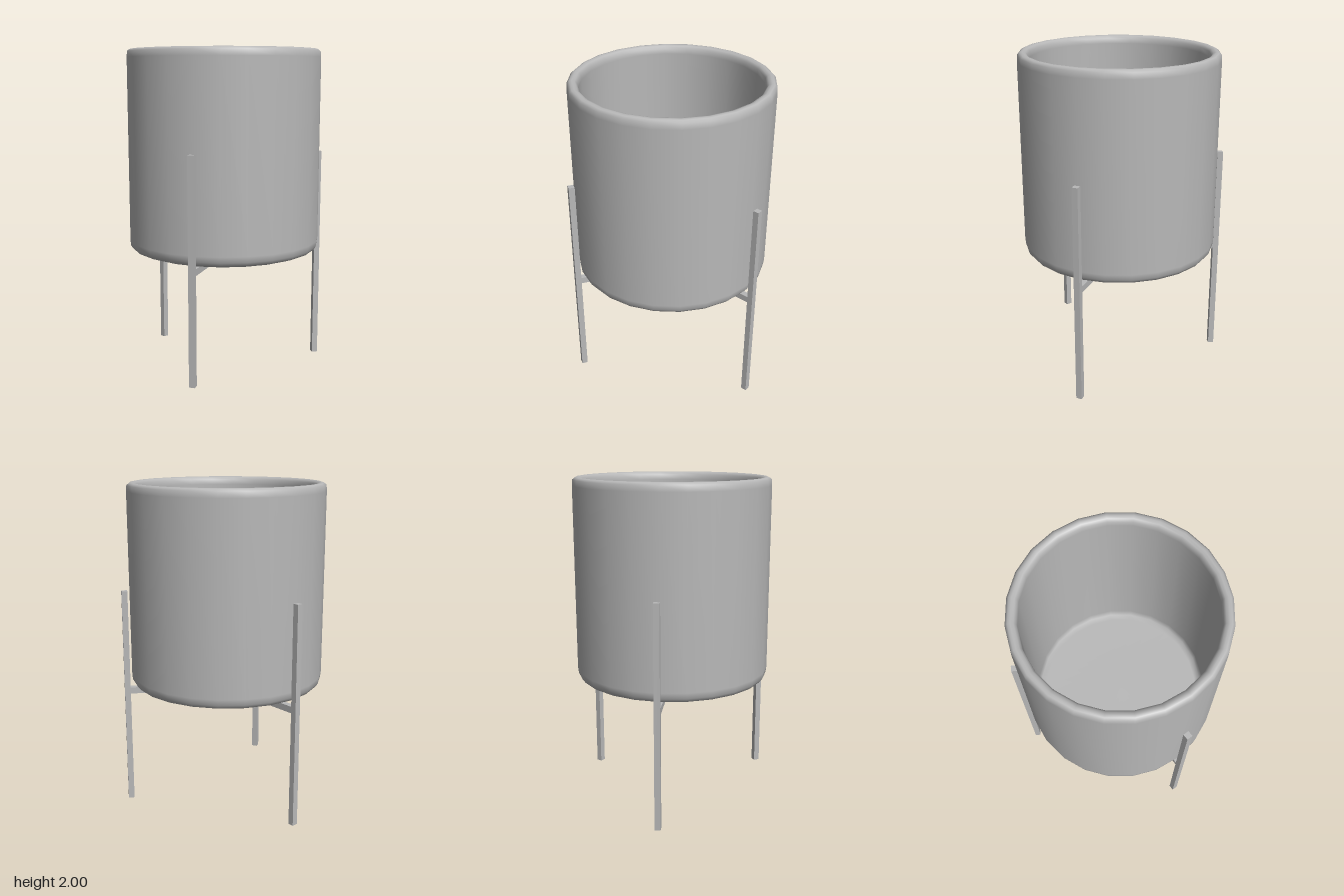
import * as THREE from 'three';

export function createModel() {
  const model = new THREE.Group();
  const grey = new THREE.MeshStandardMaterial({ color: 0xb8b8b8 });
  grey.name = 'plain grey';

  const add = (name, geometry, parent = model) => {
    const mesh = new THREE.Mesh(geometry, grey);
    mesh.name = name;
    parent.add(mesh);
    return mesh;
  };

  // Pot: one closed profile, up the outside, over the rim and down the inside
  const profile = [
    [0, 0.752], [0.49, 0.752], [0.53, 0.756], [0.575, 0.772], [0.593, 0.795], [0.597, 0.83],
    [0.597, 1.95], [0.594, 1.985], [0.58, 1.997], [0.565, 2], [0.548, 1.995], [0.536, 1.98],
    [0.532, 1.95], [0.532, 0.87], [0.52, 0.83], [0.49, 0.815], [0, 0.815],
  ].map(([r, y]) => new THREE.Vector2(r, y));
  add('pot', new THREE.LatheGeometry(profile, 24)).position.z = -0.023;

  // Stand: three square legs, each joined to the hub by a bar under the pot
  const stand = new THREE.Group();
  stand.name = 'stand';
  model.add(stand);
  const hub = new THREE.Vector3(0, 0.73, -0.04);
  const legs = [
    ['front', 0, 0.602, 0.06, 1.41],
    ['backLeft', 0.54, -0.345, 0, 1.36],
    ['backRight', -0.54, -0.345, 0, 1.36],
  ];
  for (const [side, x, z, low, high] of legs) {
    const angle = Math.atan2(x, z - hub.z);
    const leg = add(side + 'Leg', new THREE.BoxGeometry(0.036, high - low, 0.036), stand);
    leg.position.set(x, (low + high) / 2, z);
    leg.rotation.y = angle;

    const end = new THREE.Vector3(x, side === 'front' ? 0.74 : 0.73, z);
    const bar = add(side + 'Bar', new THREE.BoxGeometry(0.036, 0.04, hub.distanceTo(end)), stand);
    bar.position.copy(hub).lerp(end, 0.5);
    bar.lookAt(end);
  }

  return model;
}
